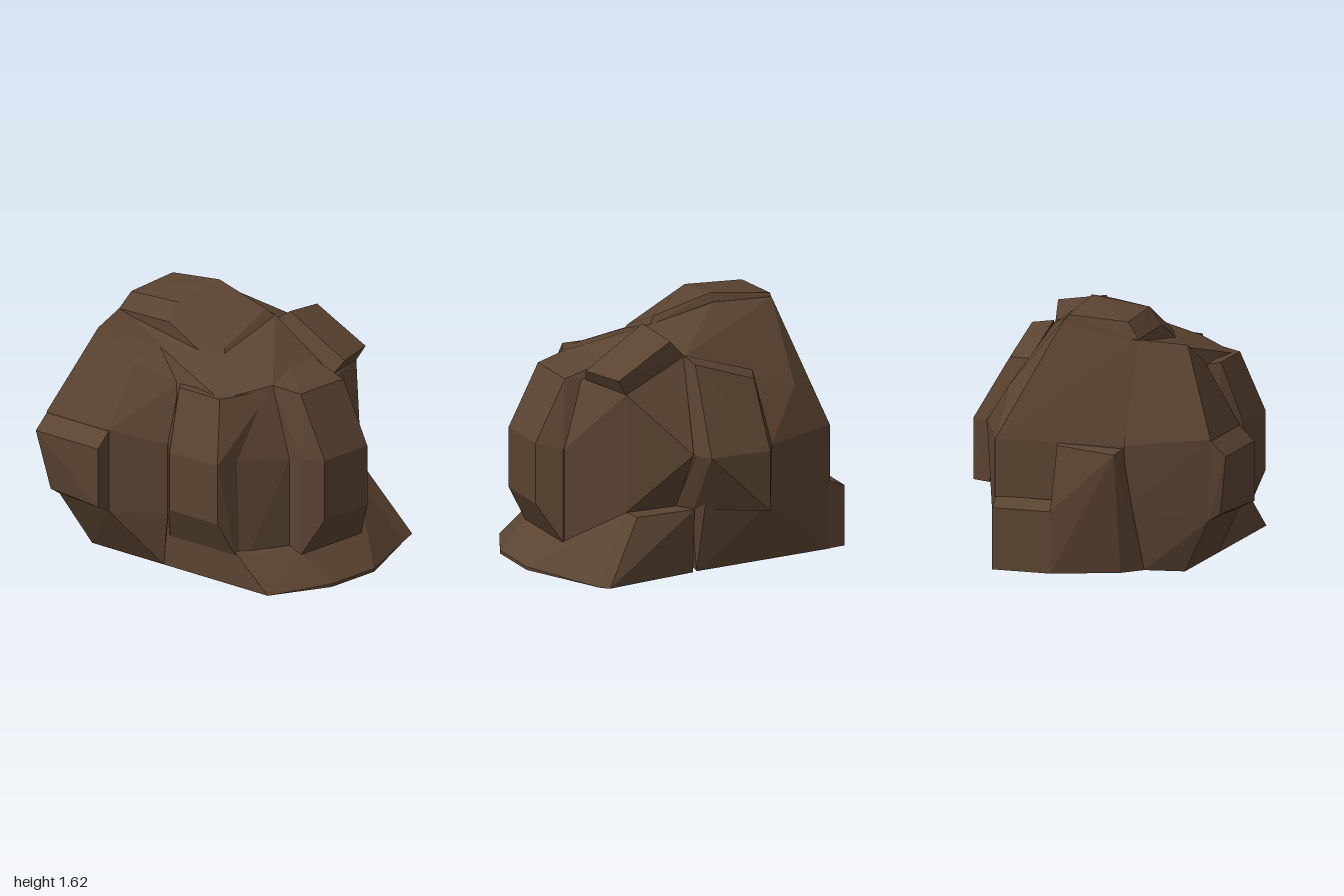
import * as THREE from 'three';
import { ConvexGeometry } from 'three/addons/geometries/ConvexGeometry.js';

// Chiselled low-poly boulder: faceted lumps and slabs set into one core.
export function createModel() {
  const group = new THREE.Group();
  const rock = new THREE.MeshStandardMaterial({ color: 0x5a4331, flatShading: true });
  rock.name = 'brown rock';

  const lump = (name, points) => {
    const geo = new ConvexGeometry(points.map((p) => new THREE.Vector3(...p)));
    const mesh = new THREE.Mesh(geo, rock);
    mesh.name = name;
    group.add(mesh);
  };
  // the same x, y at two depths
  const pair = (x, y, z0, z1) => [[x, y, z0], [x, y, z1]];

  // central mass with a ridge running up to the crown
  lump('core', [
    [0.57, 0, 0.5], [0.29, 0, 0.79], [-0.26, 0, 0.7], [-0.59, 0, 0.55],
    [-0.59, 0, -0.6], [-0.34, 0, -0.7], [0.57, 0, -0.89],
    [0.29, 0.78, 0.79], [-0.26, 0.78, 0.7],
    [0.57, 0.8, -0.89], [0.57, 1.17, 0.5], [0.21, 1.18, 0.64],
    [-0.26, 1.23, 0.56], [-0.55, 1.17, 0.38], [-0.59, 0.8, 0.5],
    [-0.5, 1.16, 0], [-0.25, 0.8, -0.81],
    [0.57, 1.09, -0.65], [0.22, 1.45, -0.69], [-0.3, 1.44, -0.69],
    [0.19, 1.55, -0.67], [0.2, 1.57, -0.27], [0.2, 1.48, 0.16],
    [-0.29, 1.23, 0.17], [0.53, 1.35, 0.09], [0.53, 1.2, -0.38],
  ]);

  // right-hand wall behind and in front of the bevelled slab
  lump('rightWall', [
    [0.53, 1.36, 0.09], [0.8, 0.8, 0.02], [0.53, 1.21, -0.38],
    [0.81, 0.8, -0.38], [0.77, 0.41, -0.38], [0.57, 1.09, -0.65],
    [0.57, 0.8, -0.89], [0.57, 0, -0.89], [0.66, 0, 0.06], [0.66, 0.4, 0.1],
    [0.3, 0, -0.8], [0.3, 1.1, 0], [0.3, 0, 0],
  ]);
  lump('rightFrontWall', [
    [0.57, 1.17, 0.5], [0.57, 0.41, 0.5], [0.57, 0.41, 0.16],
    [0.81, 0.8, 0.15], [0.53, 1.35, 0.09], [0.3, 0.8, 0.1],
  ]);
  lump('rightSlab', [
    [0.68, 1.34, 0.08], [0.68, 1.2, -0.32], ...pair(0.92, 0.8, 0.08, -0.32),
    [0.92, 0.41, -0.32], [0.68, 0.41, 0.09], [0.54, 1.36, 0.09], [0.53, 1.21, -0.38],
    ...pair(0.82, 0.8, 0.14, -0.38), [0.8, 0.41, -0.37], [0.56, 0.4, 0.16],
  ]);

  // flared foot at the front and right
  lump('frontFoot', [
    [0.73, 0, 0.75], [0.19, 0, 1], [-0.2, 0, 1], [-0.59, 0, 0.82],
    [0.19, 0.02, 1], [-0.2, 0.02, 1], [-0.59, 0, 0.4], [0.57, 0, 0.3],
    [-0.59, 0.22, 0.55], [-0.26, 0.18, 0.8], [0.29, 0.18, 0.8], [0.57, 0.41, 0.5],
  ]);
  lump('rightFoot', [
    [0.57, 0.41, 0.5], [0.69, 0.41, 0.48], [0.69, 0.41, 0.09], [0.83, 0.02, 0.73],
    [0.73, 0, 0.75], [0.67, 0, 0.09], [0.5, 0, 0.09], [0.5, 0.41, 0.09], [0.5, 0, 0.6],
  ]);

  // tall bevelled slab on the front
  lump('frontSlab', [
    ...[-0.2, 0.19].flatMap((x) => [[x, 1.2, 0.74], [x, 0.81, 0.94], [x, 0.42, 0.94]]),
    [-0.26, 0.18, 0.8], [0.29, 0.18, 0.8], [-0.26, 0.8, 0.8], [0.29, 0.78, 0.8],
    [-0.26, 1.23, 0.55], [0.21, 1.2, 0.62], [0.2, 1.36, 0.2], [-0.26, 0.18, 0.5], [0.29, 0.18, 0.5],
  ]);

  // bulge beside the front slab
  lump('leftFrontBulge', [
    ...pair(-0.7, 0.8, 0.1, 0.5), ...pair(-0.7, 0.42, 0.1, 0.5),
    ...pair(-0.57, 1.18, 0.06, 0.4), ...pair(-0.59, 0.2, 0, 0.55),
    [-0.59, 0.8, -0.02], [-0.59, 0.42, -0.02], [-0.26, 1.2, 0.55], [-0.26, 0.3, 0.6],
    [-0.48, 1.17, -0.01], [-0.3, 0.3, 0],
  ]);

  // large shoulder at the back corner, with a slab on its side
  lump('backShoulder', [
    ...pair(-0.82, 0.88, -0.82, -0.3), [-0.78, 0.35, -0.75], [-0.82, 0.35, -0.3],
    [-0.59, 1.42, -0.6], [-0.59, 1.26, -0.3], [-0.3, 1.45, -0.69], [-0.3, 1.3, -0.1],
    [-0.25, 0.8, -0.82], [-0.25, 0.4, -0.77], [-0.34, 0, -0.7], [-0.59, 0, -0.65],
    [-0.59, 0, -0.05], [-0.48, 1.17, -0.02], [-0.61, 0.8, 0], [-0.61, 0.35, 0], [-0.25, 0, -0.6],
  ]);
  lump('leftSlab', [
    [-0.86, 0.4, -0.75], [-0.92, 0.4, -0.3], ...pair(-0.92, 0.78, -0.82, -0.3),
    ...pair(-0.81, 0.88, -0.82, -0.3), [-0.78, 0.35, -0.75], [-0.81, 0.35, -0.3],
  ]);

  // slab lying on the crown
  lump('crownSlab', [
    [-0.22, 1.57, -0.27], [0.16, 1.62, -0.27], [-0.22, 1.55, -0.66], [0.17, 1.57, -0.67],
    [0.16, 1.52, 0.12], [-0.22, 1.36, 0.12], [-0.3, 1.45, -0.69], [0.21, 1.46, -0.69],
    [0.2, 1.47, 0.17], [-0.3, 1.23, 0.18], [-0.3, 1.46, -0.27], [0.22, 1.5, -0.27],
  ]);

  // tilted slab above the front wall
  lump('browSlab', [
    [0.25, 1.51, 0.24], [0.55, 1.47, 0.19], [0.59, 1.27, 0.56], [0.3, 1.27, 0.65],
    [0.19, 1.46, 0.17], [0.53, 1.36, 0.09], [0.57, 1.17, 0.5], [0.21, 1.17, 0.61],
  ]);

  // slabs leaning on the back
  lump('backLowSlab', [
    ...[0, 0.39].flatMap((y) => [[0.17, y, -1], [0.55, y, -1]]),
    [0.17, 0.44, -0.88], [0.57, 0.44, -0.88], [0.57, 0, -0.85], [0.17, 0, -0.8],
  ]);
  lump('backTallSlab', [
    [-0.23, 0, -0.83], [0.17, 0, -1], [-0.23, 0.4, -0.83], [0.17, 0.39, -1],
    [-0.22, 0.76, -0.92], [0.16, 0.79, -0.9], [-0.24, 0.78, -0.81], [0.21, 0.81, -0.74],
    [-0.29, 0.4, -0.74], [-0.34, 0, -0.7], [0.2, 0, -0.8],
  ]);

  return group;
}
